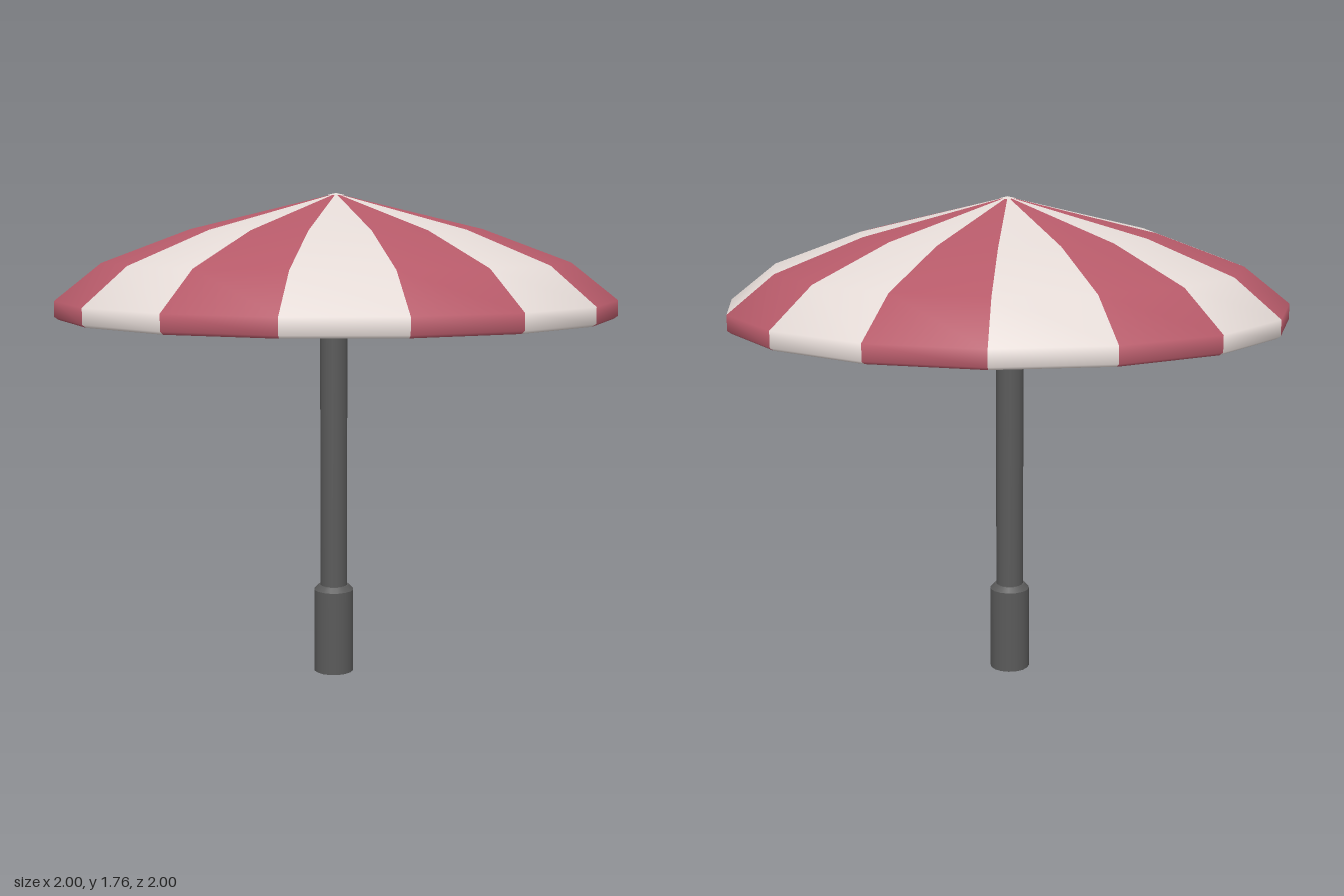
import * as THREE from 'three';

const material = (name, color) => {
  const m = new THREE.MeshStandardMaterial({ color });
  m.name = name;
  return m;
};

export function createModel() {
  const group = new THREE.Group();
  group.name = 'parasol';

  const red = material('red cloth', 0xb65a69);
  const cream = material('cream cloth', 0xe4dad6);
  const metal = material('dark grey metal', 0x5a5a5a);

  // Canopy: a thick shell of sixteen gores in alternating colours,
  // with a profile running from the inner apex, round the rim, to the outer apex
  const canopy = new THREE.Group();
  canopy.name = 'canopy';
  const profile = [
    [0, 1.67], [0.3, 1.615], [0.52, 1.535], [0.8, 1.415], [0.985, 1.325],
    [1, 1.335], [1, 1.39], [0.835, 1.52], [0.525, 1.635], [0, 1.76],
  ].map(([r, y]) => new THREE.Vector2(r, y));
  const gores = 16;
  const step = (Math.PI * 2) / gores;
  for (let i = 0; i < gores; i++) {
    const gore = new THREE.Mesh(
      new THREE.LatheGeometry(profile, 1, i * step, step),
      i % 2 === 0 ? red : cream
    );
    gore.name = 'canopyGore';
    canopy.add(gore);
  }

  // Small cream patch where the gores meet
  const tip = new THREE.Mesh(new THREE.ConeGeometry(0.03, 0.007, gores, 1, true), cream);
  tip.name = 'canopyTip';
  tip.position.y = 1.7585;
  canopy.add(tip);
  group.add(canopy);

  // Pole and its sleeve, set slightly off the canopy axis
  const stand = new THREE.Group();
  stand.name = 'stand';
  stand.position.set(-0.009, 0, 0.003);
  const addTube = (name, rTop, rBottom, y0, y1) => {
    const tube = new THREE.Mesh(new THREE.CylinderGeometry(rTop, rBottom, y1 - y0, 16), metal);
    tube.name = name;
    tube.position.y = (y0 + y1) / 2;
    stand.add(tube);
  };
  addTube('pole', 0.05, 0.05, 0.32, 1.68);
  addTube('baseSleeve', 0.073, 0.073, 0, 0.31);
  addTube('sleeveBevel', 0.056, 0.073, 0.31, 0.328);
  group.add(stand);

  return group;
}
